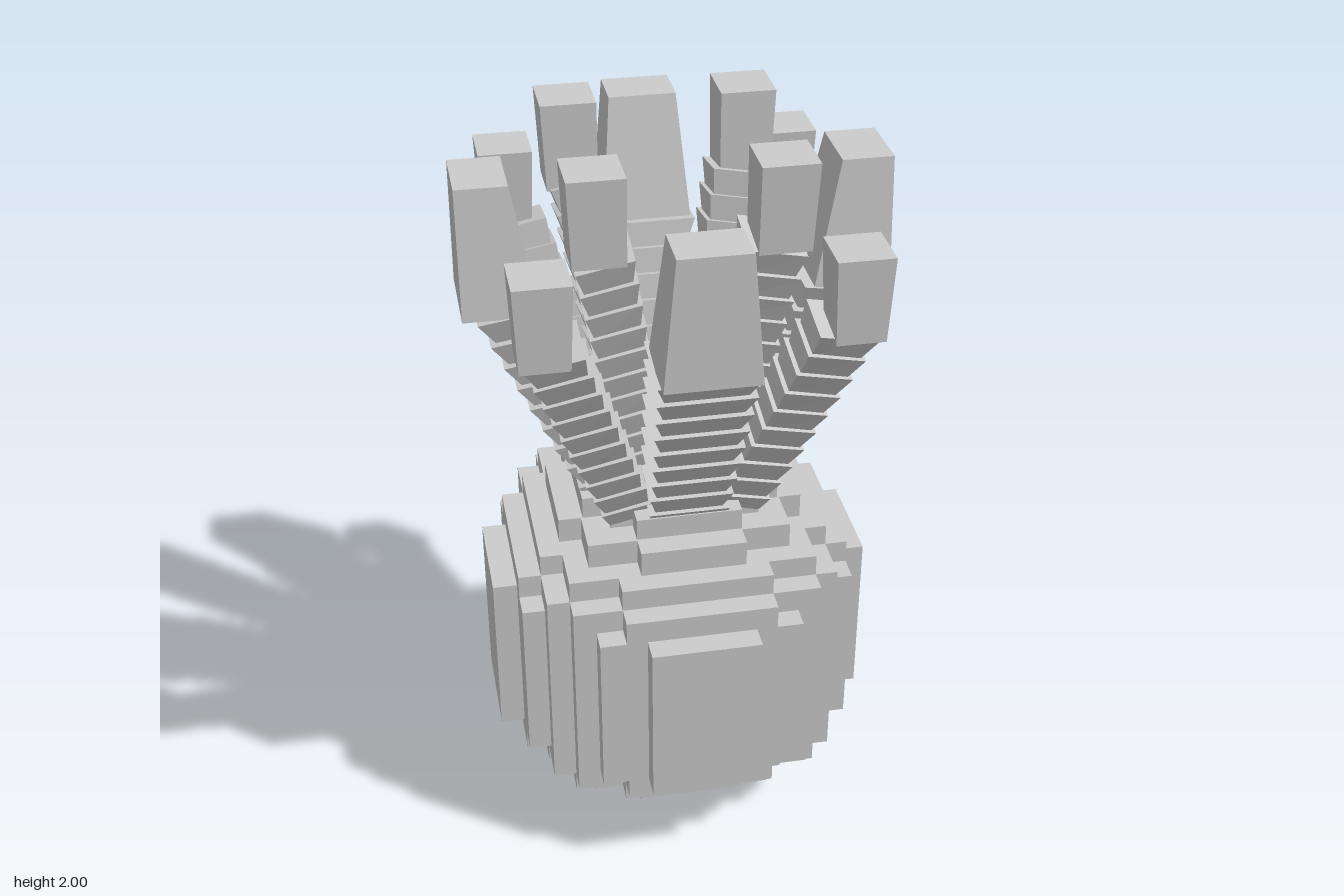
import * as THREE from 'three';

const material = new THREE.MeshStandardMaterial({ color: 0xcccccc, flatShading: true });

function add(parent, name, geometry) {
  const mesh = new THREE.Mesh(geometry, material);
  mesh.name = name;
  parent.add(mesh);
  return mesh;
}

// Stepped disc: steps are [reach, half width] pairs for one quadrant, largest reach first
function steppedLayer(steps, y0, y1) {
  const quadrant = [];
  steps.forEach(([a, b], i) => {
    if (i > 0) quadrant.push([a, steps[i - 1][1]]);
    quadrant.push([a, b]);
  });
  const points = [];
  for (let k = 0; k < 4; k++) {
    for (const [x, y] of quadrant) {
      const p = new THREE.Vector2(x, y);
      points.push(p.rotateAround(new THREE.Vector2(), k * Math.PI / 2));
    }
  }
  const g = new THREE.ExtrudeGeometry(new THREE.Shape(points), { depth: y1 - y0, bevelEnabled: false });
  return g.rotateX(-Math.PI / 2).translate(0, y0, 0);
}

// Box whose ends differ: each end is { x, y, z, w, d, tilt }, tilt raises the +z side
function block(bottom, top) {
  const g = new THREE.BoxGeometry(2, 2, 2);
  const p = g.attributes.position;
  for (let i = 0; i < p.count; i++) {
    const e = p.getY(i) < 0 ? bottom : top;
    const sx = p.getX(i), sz = p.getZ(i);
    p.setXYZ(i, e.x + sx * e.w, e.y + (e.tilt ?? 0) * (sz + (e.x ? sx : 0)), e.z + sz * e.d);
  }
  g.computeVertexNormals();
  return g;
}

// Chain of flared, overlapping segments along a straight lean, ending in a tall tip
function tentacle(name, { start, end, count, diagonal, w0, w1, d0, d1, tip }) {
  const group = new THREE.Group();
  group.name = name;
  const at = (t, grow) => {
    const r = THREE.MathUtils.lerp(start[0], end[0], t);
    const y = THREE.MathUtils.lerp(start[1], end[1], t);
    return {
      x: diagonal ? r : 0, y, z: r, tilt: -0.014,
      w: THREE.MathUtils.lerp(w0, w1, t) * grow,
      d: THREE.MathUtils.lerp(d0, d1, t) * grow,
    };
  };
  for (let i = 0; i < count; i++) {
    add(group, 'segment', block(at((i - 0.1) / count, 0.84), at((i + 1) / count, 1.04)));
  }
  add(group, 'tip', block(tip[0], tip[1]));
  return group;
}

export function createModel() {
  const model = new THREE.Group();
  model.name = 'tentacledCreature';

  // Stepped round body
  const body = new THREE.Group();
  body.name = 'body';
  model.add(body);
  const rings = [
    [[0.265, 0.14], [0.2, 0.2], [0.14, 0.265]],
    [[0.33, 0.14], [0.27, 0.27], [0.14, 0.33]],
    [[0.39, 0.2], [0.33, 0.33], [0.2, 0.39]],
    [[0.45, 0.2], [0.39, 0.33], [0.33, 0.39], [0.2, 0.45]],
  ];
  const low = [0.04, 0.105, 0.17, 0.23, 0.29];
  const high = [1.02, 0.96, 0.89, 0.83, 0.765];
  rings.forEach((steps, i) => {
    add(body, 'lowerLayer', steppedLayer(steps, low[i], low[i + 1]));
    add(body, 'upperLayer', steppedLayer(steps, high[i + 1], high[i]));
  });
  add(body, 'middleLayer', steppedLayer(
    [[0.515, 0.145], [0.45, 0.27], [0.39, 0.33], [0.33, 0.39], [0.27, 0.45], [0.145, 0.515]], 0.29, 0.765));

  // Tapered octagonal base
  const base = new THREE.CylinderGeometry(0.283, 0.145, 0.04, 8, 1).rotateY(Math.PI / 8);
  add(body, 'base', base.translate(0, 0.02, 0));

  // Three tentacles for each quarter turn
  for (let k = 0; k < 4; k++) {
    const straight = tentacle('straightTentacle', {
      start: [0.16, 0.98], end: [0.415, 1.57], count: 9,
      w0: 0.1, w1: 0.122, d0: 0.075, d1: 0.09,
      tip: [
        { x: 0, y: 1.565, z: 0.445, w: 0.12, d: 0.1 },
        { x: 0, y: 1.908, z: 0.478, w: 0.09, d: 0.066 },
      ],
    });
    const outer = tentacle('outerTentacle', {
      start: [0.135, 0.98], end: [0.355, 1.61], count: 10, diagonal: true,
      w0: 0.065, w1: 0.07, d0: 0.065, d1: 0.07,
      tip: [
        { x: 0.38, y: 1.59, z: 0.38, w: 0.062, d: 0.062 },
        { x: 0.38, y: 1.816, z: 0.38, w: 0.071, d: 0.071 },
      ],
    });
    const inner = tentacle('innerTentacle', {
      start: [0.075, 0.98], end: [0.21, 1.78], count: 12, diagonal: true,
      w0: 0.06, w1: 0.07, d0: 0.06, d1: 0.07,
      tip: [
        { x: 0.225, y: 1.77, z: 0.225, w: 0.066, d: 0.066 },
        { x: 0.23, y: 2, z: 0.23, w: 0.071, d: 0.071 },
      ],
    });
    for (const t of [straight, outer, inner]) {
      t.rotation.y = k * Math.PI / 2;
      model.add(t);
    }
  }
  return model;
}
